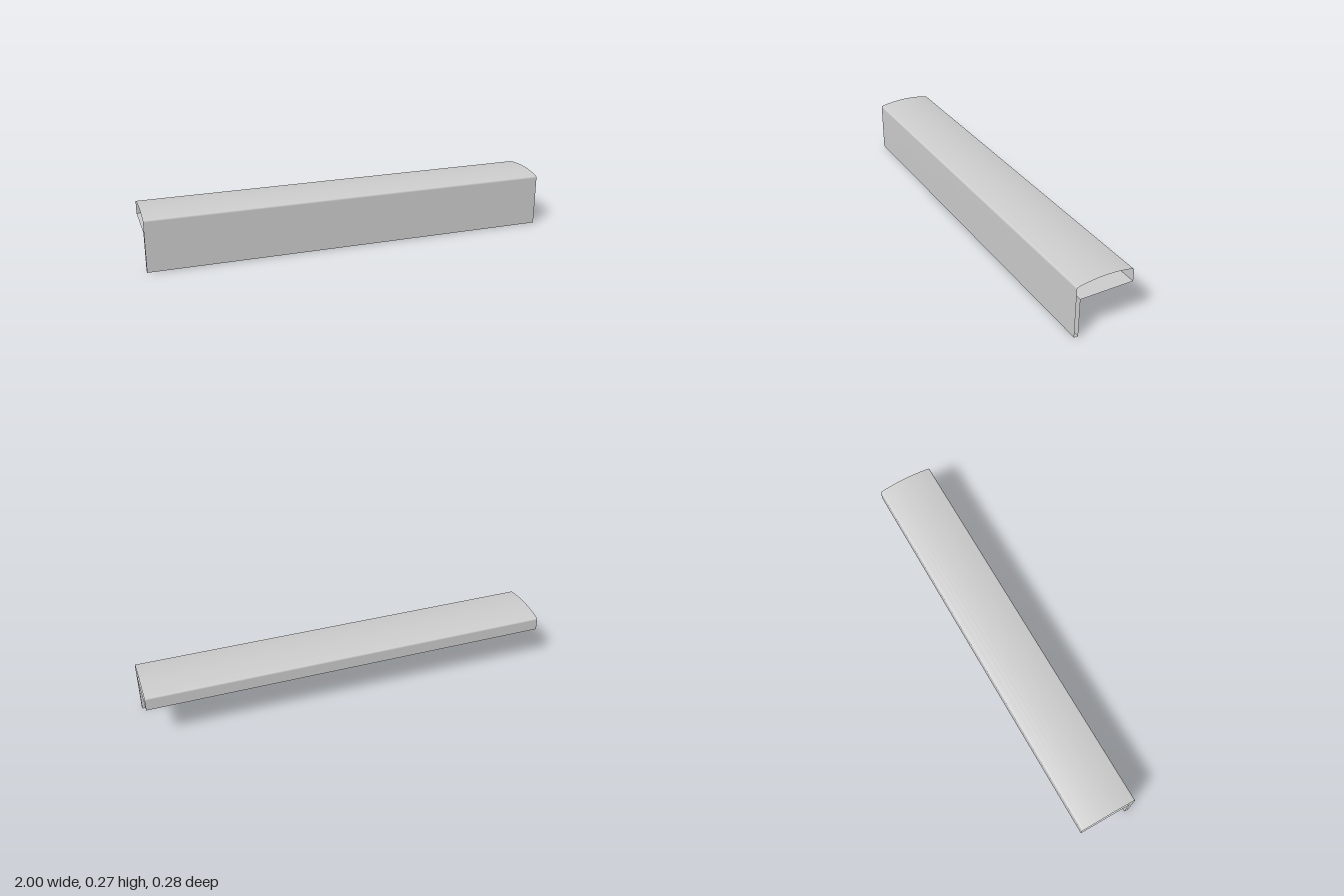
import * as THREE from 'three';

// All profile points are (z, y); the ends of the hollow rail stay open.
const LENGTH = 2, FRONT = 0.1425, BACK = -0.1425, INNER = 0.1225, PLATE_Y = 0.19;

const material = new THREE.MeshStandardMaterial({ color: 0xcccccc, side: THREE.DoubleSide });

// Sweeps an open profile along x, smooth across its length.
function sweep(name, points) {
  const geometry = new THREE.PlaneGeometry(LENGTH, 1, 1, points.length - 1);
  const position = geometry.attributes.position;
  for (let i = 0; i < position.count; i++) {
    const p = points[Math.floor(i / 2)];
    position.setXYZ(i, position.getX(i), p.y, p.x);
  }
  geometry.computeVertexNormals();
  const mesh = new THREE.Mesh(geometry, material);
  mesh.name = name;
  return mesh;
}

const strip = (name, z0, y0, z1, y1) =>
  sweep(name, [new THREE.Vector2(z0, y0), new THREE.Vector2(z1, y1)]);

export function createModel() {
  const group = new THREE.Group();
  group.name = 'handrail';

  // Outer skin: short back wall, crowned top with rounded edges, tall front wall
  const skin = new THREE.Path();
  skin.moveTo(BACK, PLATE_Y);
  skin.lineTo(BACK, 0.245);
  skin.quadraticCurveTo(BACK, 0.2544, -0.132, 0.2565);
  skin.quadraticCurveTo(0, 0.2835, 0.132, 0.2565);
  skin.quadraticCurveTo(FRONT, 0.2544, FRONT, 0.245);
  skin.lineTo(FRONT, 0);
  group.add(sweep('outerSkin', skin.getPoints(12)));

  // Underside: flange edge, flange inner face and the plate closing the top box
  group.add(strip('flangeBottom', FRONT, 0, INNER, 0));
  group.add(strip('flangeInnerFace', INNER, 0, INNER, PLATE_Y));
  group.add(strip('bottomPlate', INNER, PLATE_Y, BACK, PLATE_Y));

  return group;
}
